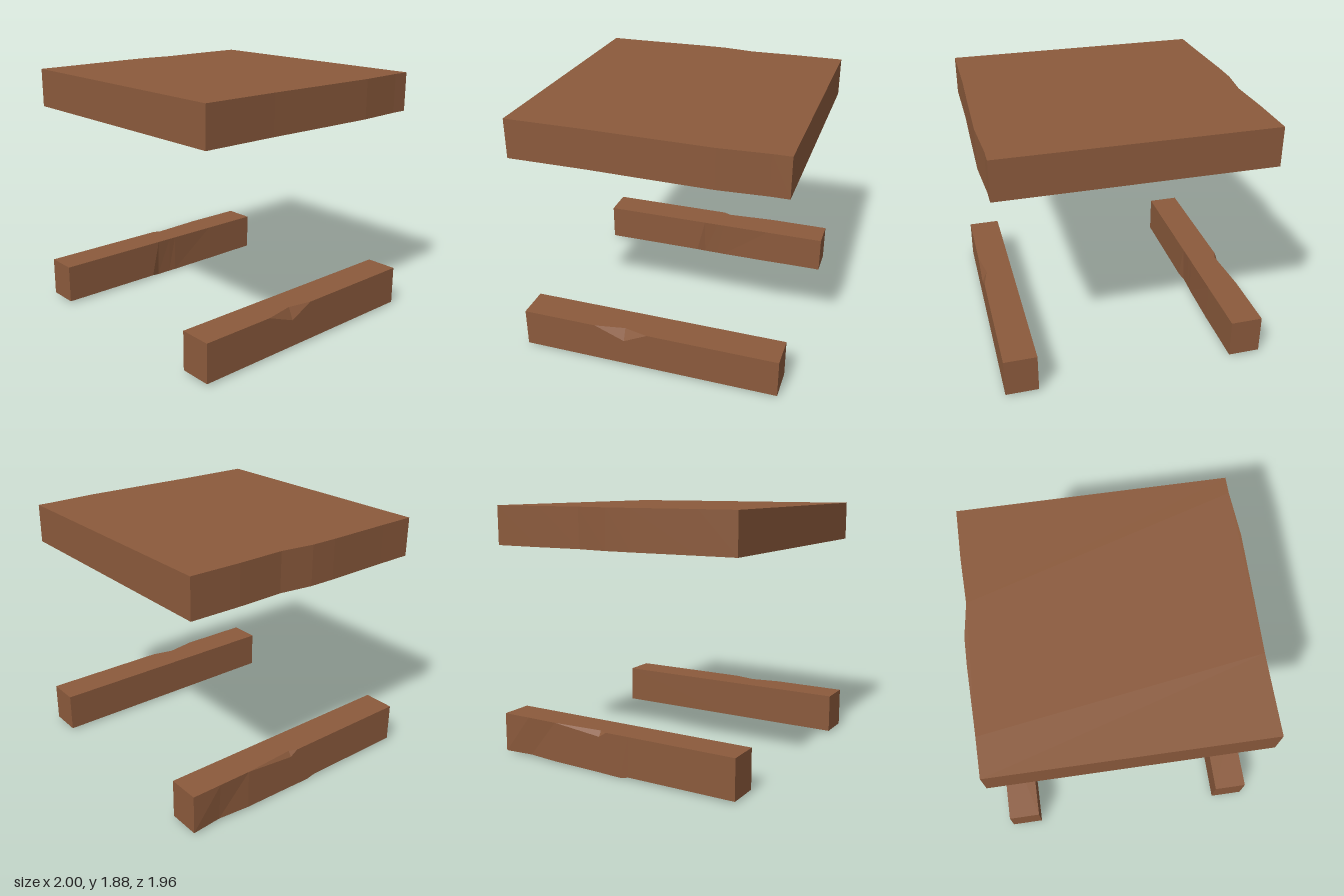
import * as THREE from 'three';

const wood = new THREE.MeshStandardMaterial({ color: 0x8b5a3c });
wood.name = 'brownWood';

// Worn deck board: straight ends, slightly wavy sides, points are (x, z)
function makeDeck() {
  const outline = [
    [-0.98, -0.98], [-0.98, -0.6], [-0.968, -0.25], [-1, 0], [-1, 0.2], [-0.985, 0.7], [-0.98, 0.98],
    [0.98, 0.98], [0.98, 0.4], [0.99, 0], [1, -0.5], [0.98, -0.85], [0.98, -0.98],
  ].map(([x, z]) => new THREE.Vector2(x, z));
  const geo = new THREE.ExtrudeGeometry(new THREE.Shape(outline), { depth: 0.29, bevelEnabled: false });
  geo.rotateX(Math.PI / 2).translate(0, 1.88, 0);
  return new THREE.Mesh(geo, wood);
}

// Runner lofted through sections along z; wear is given per section:
// chip = inset of outer top edge, depth = how far the chip runs down,
// foot = inset of inner bottom edge, drop = bulge below, heel = inset of outer bottom edge
function makeRunner(side, inner, wear) {
  const pos = [], index = [], n = 5;
  for (const { z, chip = 0, depth = 0, foot = 0, drop = 0, heel = 0 } of wear) {
    const section = [
      [inner + foot, 0.015 - drop], [0.98 - heel, 0.015 - drop],
      [0.98, 0.31 - depth], [0.98 - chip, 0.31], [inner, 0.31],
    ];
    for (const [x, y] of section) pos.push(side * x, y, z);
  }
  const tri = (a, b, c) => (side > 0 ? index.push(a, b, c) : index.push(a, c, b));
  for (let i = 0; i < wear.length - 1; i++) {
    for (let j = 0; j < n; j++) {
      const a = i * n + j, b = i * n + (j + 1) % n;
      tri(a, b, b + n);
      tri(a, b + n, a + n);
    }
  }
  // End caps
  const last = (wear.length - 1) * n;
  for (let j = 1; j < n - 1; j++) {
    tri(0, j + 1, j);
    tri(last, last + j, last + j + 1);
  }
  const geo = new THREE.BufferGeometry();
  geo.setAttribute('position', new THREE.Float32BufferAttribute(pos, 3));
  geo.setIndex(index);
  const flat = geo.toNonIndexed();
  flat.computeVertexNormals();
  return new THREE.Mesh(flat, wood);
}

export function createModel() {
  const group = new THREE.Group();
  const deck = makeDeck();
  deck.name = 'deckBoard';

  const left = makeRunner(1, 0.735, [
    { z: -0.98 }, { z: 0 }, { z: 0.18, chip: 0.04, depth: 0.09 }, { z: 0.41 }, { z: 0.98 },
  ]);
  left.name = 'leftRunner';

  const right = makeRunner(-1, 0.74, [
    { z: -0.98 }, { z: -0.75, heel: 0.02 }, { z: -0.5, drop: 0.003 },
    { z: -0.1, chip: 0.025, depth: 0.04, foot: 0.01, drop: 0.01 },
    { z: -0.04, foot: 0.015, drop: 0.012 },
    { z: 0.08, foot: 0.02, drop: 0.015 }, { z: 0.15 }, { z: 0.98 },
  ]);
  right.name = 'rightRunner';

  group.add(deck, left, right);
  return group;
}
